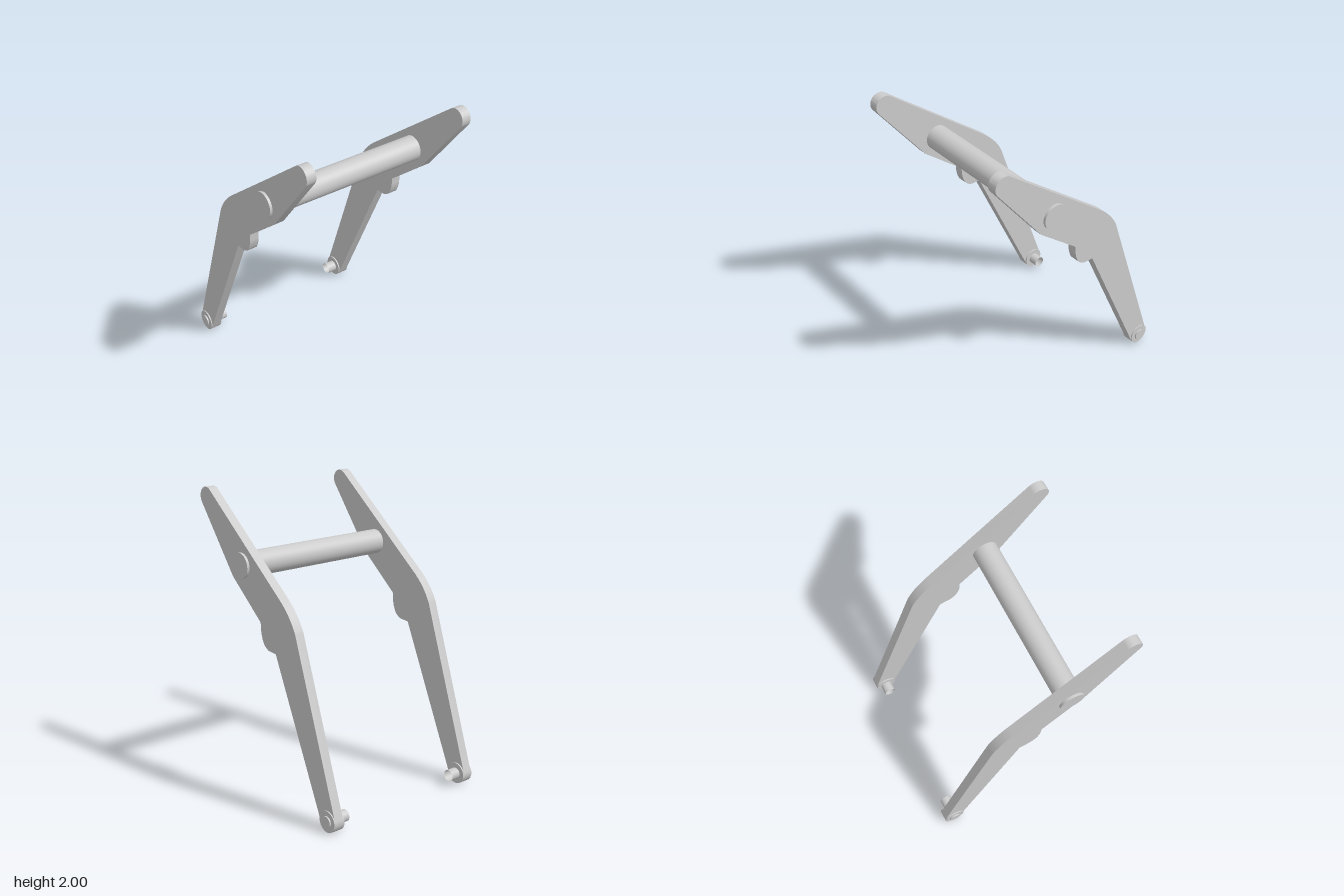
import * as THREE from 'three';
import { toCreasedNormals } from 'three/addons/utils/BufferGeometryUtils.js';

const material = new THREE.MeshStandardMaterial({ color: 0xcccccc });
const openMaterial = new THREE.MeshStandardMaterial({ color: 0xcccccc, side: THREE.DoubleSide });

const ARM_X = 0.57, ARM_WIDTH = 0.065;
const PIVOT = { y: 0.073, z: -0.611 };

// Cylinder lying along x between x0 and x1
function rod(name, radius, x0, x1, y, z, open = false) {
  const geometry = new THREE.CylinderGeometry(radius, radius, x1 - x0, 48, 1, open);
  geometry.rotateZ(-Math.PI / 2);
  const mesh = new THREE.Mesh(geometry, open ? openMaterial : material);
  mesh.name = name;
  mesh.position.set((x0 + x1) / 2, y, z);
  return mesh;
}

// Side outline of an arm, drawn as (z, y)
function armGeometry() {
  const s = new THREE.Shape();
  s.absarc(PIVOT.z, PIVOT.y, 0.072, 2.82, 5.87, false);
  s.lineTo(-0.104, 1.035);
  // Stop lug under the elbow
  s.lineTo(-0.035, 1.04);
  s.quadraticCurveTo(0.005, 1.052, 0.024, 1.083);
  s.quadraticCurveTo(0.047, 1.13, 0.047, 1.17);
  s.lineTo(0.05, 1.21);
  s.lineTo(0.34, 1.453);
  // Rounded tip
  s.absarc(0.621, 1.934, 0.066, -0.64, 2.25, false);
  s.lineTo(-0.156, 1.395);
  // Rounded elbow
  s.quadraticCurveTo(-0.255, 1.315, -0.304, 1.21);
  s.closePath();
  const geometry = new THREE.ExtrudeGeometry(s, { depth: ARM_WIDTH, bevelEnabled: false, curveSegments: 20 });
  geometry.translate(0, 0, -ARM_WIDTH / 2);
  geometry.rotateY(-Math.PI / 2);
  return toCreasedNormals(geometry, 0.5);
}

export function createModel() {
  const model = new THREE.Group();
  model.name = 'liftArms';
  const armShape = armGeometry();

  for (const [side, sign] of [['left', 1], ['right', -1]]) {
    const group = new THREE.Group();
    group.name = side + 'ArmAssembly';

    const arm = new THREE.Mesh(armShape, material);
    arm.name = side + 'Arm';
    arm.position.x = sign * ARM_X;
    group.add(arm);

    // Pivot boss around the lower end
    const span = (a, b) => (sign > 0 ? [a, b] : [-b, -a]);
    group.add(rod(side + 'PivotBoss', 0.072, ...span(0.528, 0.61), PIVOT.y, PIVOT.z));

    // Hollow pin pointing inward, closed by a cap on the outside
    group.add(rod(side + 'PivotPin', 0.039, ...span(0.46, 0.61), PIVOT.y, PIVOT.z, true));
    group.add(rod(side + 'PinCap', 0.039, ...span(0.6, 0.62), PIVOT.y, PIVOT.z));
    model.add(group);
  }

  // Cross tube joining the two arms
  model.add(rod('crossTube', 0.084, -0.62, 0.62, 1.545, 0.24));
  return model;
}
